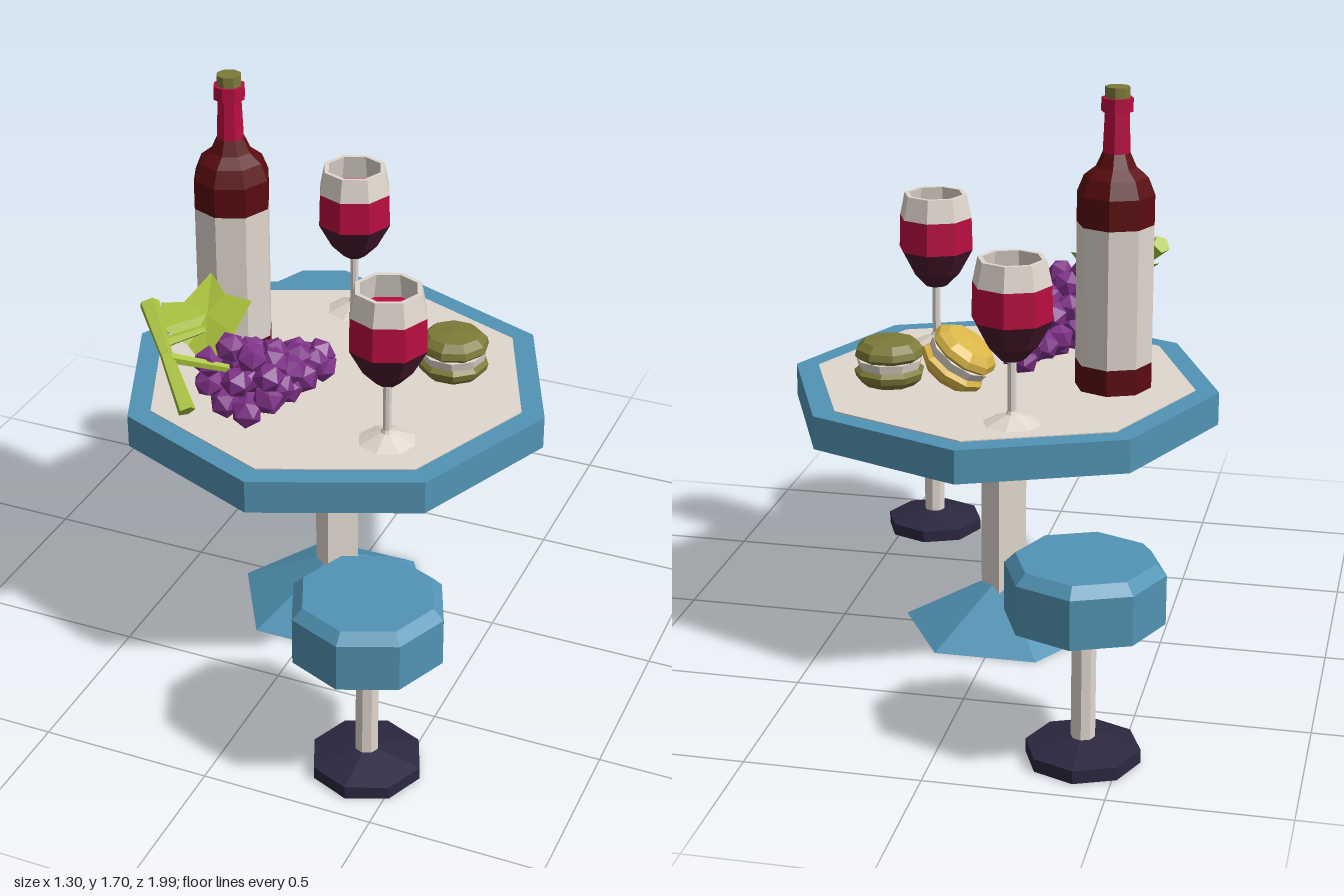
import * as THREE from 'three';

const mat = (name, color, side = THREE.FrontSide) => {
  const m = new THREE.MeshStandardMaterial({ color, flatShading: true, side });
  m.name = name;
  return m;
};

export function createModel() {
  const blue = mat('blue paint', 0x5294b5), cream = mat('cream', 0xe0d7cd);
  const navy = mat('dark navy', 0x2c2740), darkRed = mat('dark red glass', 0x5a0c10);
  const crimson = mat('crimson', 0xb80d40), wine = mat('deep wine', 0x4a1a30);
  const purple = mat('grape purple', 0x7f3288), green = mat('leaf green', 0xa9c23c, THREE.DoubleSide);
  const yellow = mat('yellow', 0xd8b547), olive = mat('olive', 0x7d7a38);

  const model = new THREE.Group();
  model.name = 'bistroSet';
  const group = (name, x, y, z) => {
    const g = new THREE.Group();
    g.name = name;
    g.position.set(x, y, z);
    model.add(g);
    return g;
  };
  const add = (parent, name, geo, material, x = 0, y = 0, z = 0) => {
    const m = new THREE.Mesh(geo, material);
    m.name = name;
    m.position.set(x, y, z);
    parent.add(m);
    return m;
  };
  // Turned part from [radius, height] pairs, listed bottom to top
  const turned = (pts, sides = 8) =>
    new THREE.LatheGeometry(pts.map(p => new THREE.Vector2(...p)), sides);
  // Straight bar between two points
  const bar = (parent, name, a, b, r0, r1, material) => {
    const p = new THREE.Vector3(...a), q = new THREE.Vector3(...b), d = q.clone().sub(p);
    const m = add(parent, name, new THREE.CylinderGeometry(r1, r0, d.length(), 5), material);
    m.position.copy(p).add(q).multiplyScalar(0.5);
    m.quaternion.setFromUnitVectors(new THREE.Vector3(0, 1, 0), d.normalize());
  };

  // Table
  const table = group('table', 0, 0, 0.05);
  add(table, 'tableTop', new THREE.CylinderGeometry(0.65, 0.65, 0.1, 8), blue, 0, 0.75, 0);
  add(table, 'tableInlay', new THREE.CylinderGeometry(0.58, 0.58, 0.004, 8), cream, 0, 0.801, 0);
  add(table, 'tablePost', new THREE.CylinderGeometry(0.07, 0.07, 0.68, 4), cream, 0, 0.37, 0);
  add(table, 'tableFoot', new THREE.ConeGeometry(0.31, 0.167, 6), blue, 0, 0.0835, 0)
    .rotation.y = Math.PI / 2;

  // Stools
  for (const s of [1, -1]) {
    const stool = group('stool', 0.4 * s, 0, 0.777 * s);
    add(stool, 'stoolSeat', turned([[0, 0.42], [0.22, 0.42], [0.22, 0.56], [0.19, 0.59], [0, 0.59]]), blue);
    add(stool, 'stoolPost', new THREE.CylinderGeometry(0.034, 0.034, 0.42, 8), cream, 0, 0.21, 0);
    add(stool, 'stoolBase', turned([[0, 0.002], [0.16, 0.002], [0.16, 0.04], [0.035, 0.068], [0, 0.068]]), navy);
  }

  // Wine bottle
  const bottle = group('bottle', -0.333, 0.8, 0.045);
  add(bottle, 'bottleBottom', turned([[0, 0.001], [0.115, 0.001], [0.115, 0.082]]), darkRed);
  add(bottle, 'bottleLabel', turned([[0.115, 0.082], [0.115, 0.5]]), cream);
  add(bottle, 'bottleShoulder', turned([[0.115, 0.5], [0.115, 0.59], [0.095, 0.64], [0.06, 0.668], [0.041, 0.71]]), darkRed);
  add(bottle, 'bottleFoil', turned([[0.041, 0.705], [0.036, 0.83], [0.047, 0.83], [0.047, 0.87], [0, 0.87]]), crimson);
  add(bottle, 'cork', new THREE.CylinderGeometry(0.037, 0.037, 0.035, 8), olive, 0, 0.884, 0);

  // Wine glasses
  for (const [x, z] of [[0.28, 0.345], [-0.11, -0.35]]) {
    const glass = group('wineGlass', x, 0.8, z);
    add(glass, 'glassFoot', turned([[0, 0.003], [0.085, 0.003], [0.018, 0.03], [0.013, 0.04], [0.013, 0.2]]), cream);
    add(glass, 'bowlBottom', turned([[0, 0.19], [0.035, 0.193], [0.075, 0.235], [0.117, 0.312]]), wine);
    add(glass, 'wineBand', turned([[0.117, 0.312], [0.114, 0.414]]), crimson);
    add(glass, 'bowlRim', turned([[0.114, 0.414], [0.099, 0.486], [0.085, 0.486], [0.1, 0.405]]), cream);
    add(glass, 'wineSurface', turned([[0.105, 0.41], [0, 0.41]]), crimson);
  }

  // Macarons: two domed shells around a cream filling
  const macaron = (name, material, x, y, z, tilt) => {
    const g = group(name, x, y, z);
    g.rotation.z = tilt;
    const shell = [[0, 0.012], [0.09, 0.012], [0.106, 0.026], [0.101, 0.046], [0.078, 0.066], [0, 0.074]];
    add(g, 'topShell', turned(shell, 9), material);
    add(g, 'bottomShell', turned(shell, 9), material).rotation.x = Math.PI;
    add(g, 'filling', new THREE.CylinderGeometry(0.1, 0.094, 0.026, 9), cream).rotation.y = 0.3;
  };
  macaron('oliveMacaron', olive, 0.318, 0.874, -0.085, 0);
  macaron('yellowMacaron', yellow, 0.104, 0.902, -0.098, 0.6);

  // Grapes: rings of berries shrinking toward the tip of the bunch
  const grapes = group('grapeBunch', 0, 0, 0);
  const berry = new THREE.IcosahedronGeometry(0.047, 0);
  const rings = 6;
  for (let i = 0; i < rings; i++) {
    const t = i / (rings - 1);
    const r = 0.098 * (1 - 0.72 * t), n = Math.round(8 - 4.5 * t);
    const cx = -0.145 + 0.105 * t, cz = 0.42 - 0.31 * t, cy = 0.845 + r;
    for (let k = 0; k < n; k++) {
      const a = (k + (i % 2) / 2) / n * Math.PI * 2 + 0.3;
      add(grapes, 'grape', berry, purple, cx + r * Math.cos(a), cy + r * Math.sin(a),
        cz + 0.012 * Math.sin(k * 2.4)).rotation.set(k * 1.3, i * 0.9, k + i);
    }
    if (i < 2) add(grapes, 'grape', berry, purple, cx, cy, cz + 0.015);
  }

  // Grape stem and leaf
  bar(grapes, 'stemUpper', [-0.415, 1.14, 0.43], [-0.32, 1.04, 0.52], 0.03, 0.019, green);
  bar(grapes, 'stemLower', [-0.32, 1.04, 0.52], [-0.212, 0.93, 0.615], 0.019, 0.026, green);
  bar(grapes, 'leafStalk', [-0.34, 1.06, 0.5], [-0.27, 1.06, 0.38], 0.017, 0.012, green);
  bar(grapes, 'bunchStalk', [-0.31, 1.03, 0.52], [-0.17, 0.98, 0.43], 0.016, 0.012, green);
  const rim = [
    [-0.42, 1.10, 0.35], [-0.36, 1.10, 0.32], [-0.33, 1.145, 0.2], [-0.25, 1.13, 0.28], [-0.155, 1.135, 0.3],
    [-0.17, 1.07, 0.39], [-0.225, 0.985, 0.465], [-0.30, 1.02, 0.42], [-0.38, 1.06, 0.42],
  ];
  const mid = [-0.275, 1.09, 0.345];
  const tris = rim.flatMap((p, i) => [...mid, ...rim[(i + 1) % rim.length], ...p]);
  const leaf = new THREE.BufferGeometry();
  leaf.setAttribute('position', new THREE.Float32BufferAttribute(tris, 3));
  leaf.computeVertexNormals();
  add(grapes, 'leaf', leaf, green);

  return model;
}
